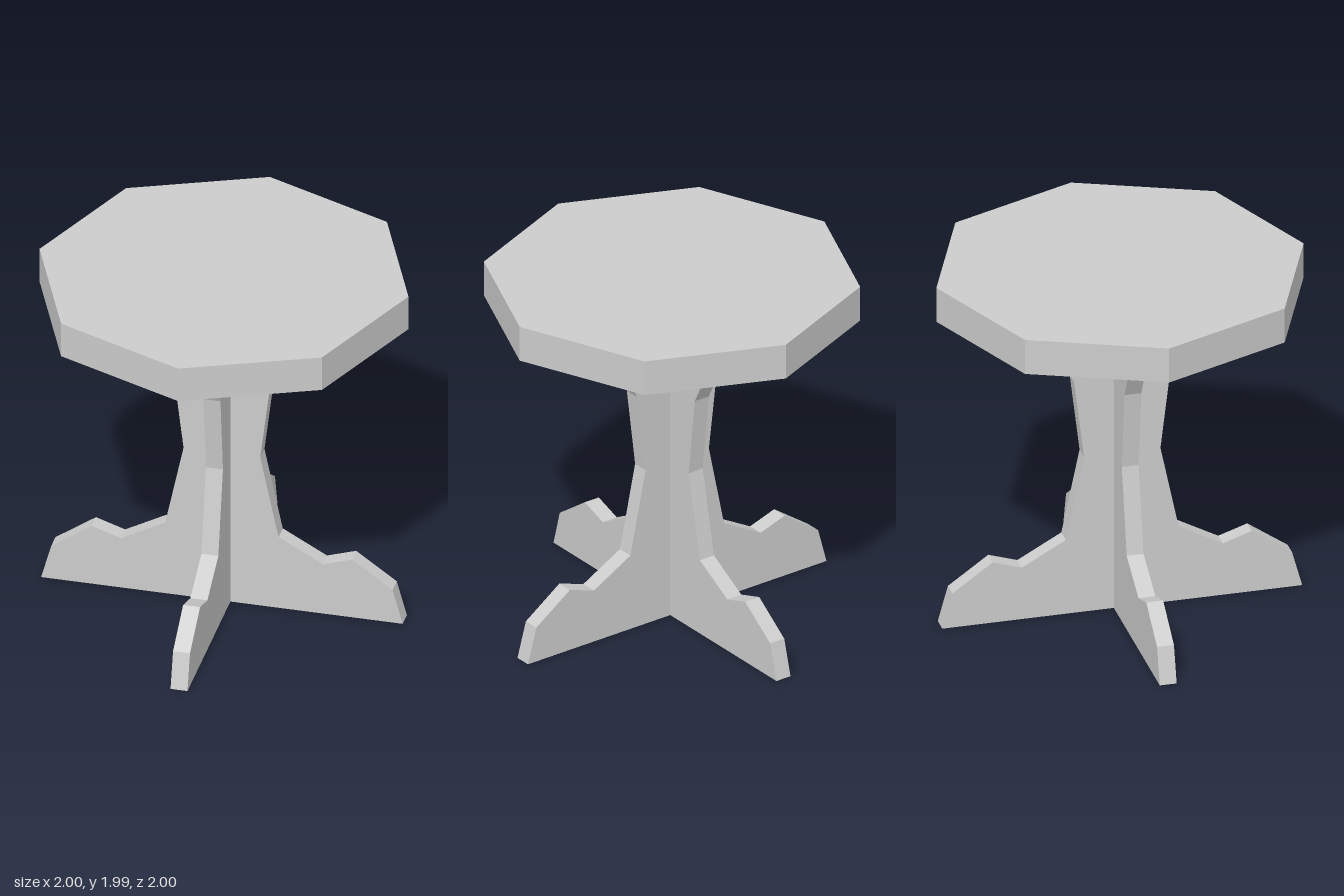
import * as THREE from 'three';

const TOP_Y = 1.79, TOP_HEIGHT = 0.2, PLANK = 0.092;

// Right half of the plank outline, from the foot up to the table top
const PROFILE = [
  [0.98, 0], [0.925, 0.2], [0.705, 0.355], [0.547, 0.303], [0.307, 0.435],
  [0.208, 0.91], [0.262, 1.36], [0.483, TOP_Y],
];

export function createModel() {
  const group = new THREE.Group();
  group.name = 'pedestalTable';
  const material = new THREE.MeshStandardMaterial({ color: 0xcccccc, flatShading: true });

  // Octagonal table top with a corner facing the front
  const top = new THREE.Mesh(new THREE.CylinderGeometry(1, 1, TOP_HEIGHT, 8), material);
  top.name = 'tableTop';
  top.position.y = TOP_Y + TOP_HEIGHT / 2;
  group.add(top);

  // Two identical mirrored planks crossing at the centre
  const mirrored = PROFILE.map(([x, y]) => [-x, y]).reverse();
  const outline = [...PROFILE, ...mirrored].map(([x, y]) => new THREE.Vector2(x, y));
  const plank = new THREE.ExtrudeGeometry(new THREE.Shape(outline), { depth: PLANK, bevelEnabled: false });
  plank.translate(0, 0, -PLANK / 2);
  ['legPlankAcross', 'legPlankDeep'].forEach((name, i) => {
    const leg = new THREE.Mesh(plank, material);
    leg.name = name;
    leg.rotation.y = i * Math.PI / 2;
    group.add(leg);
  });

  return group;
}
